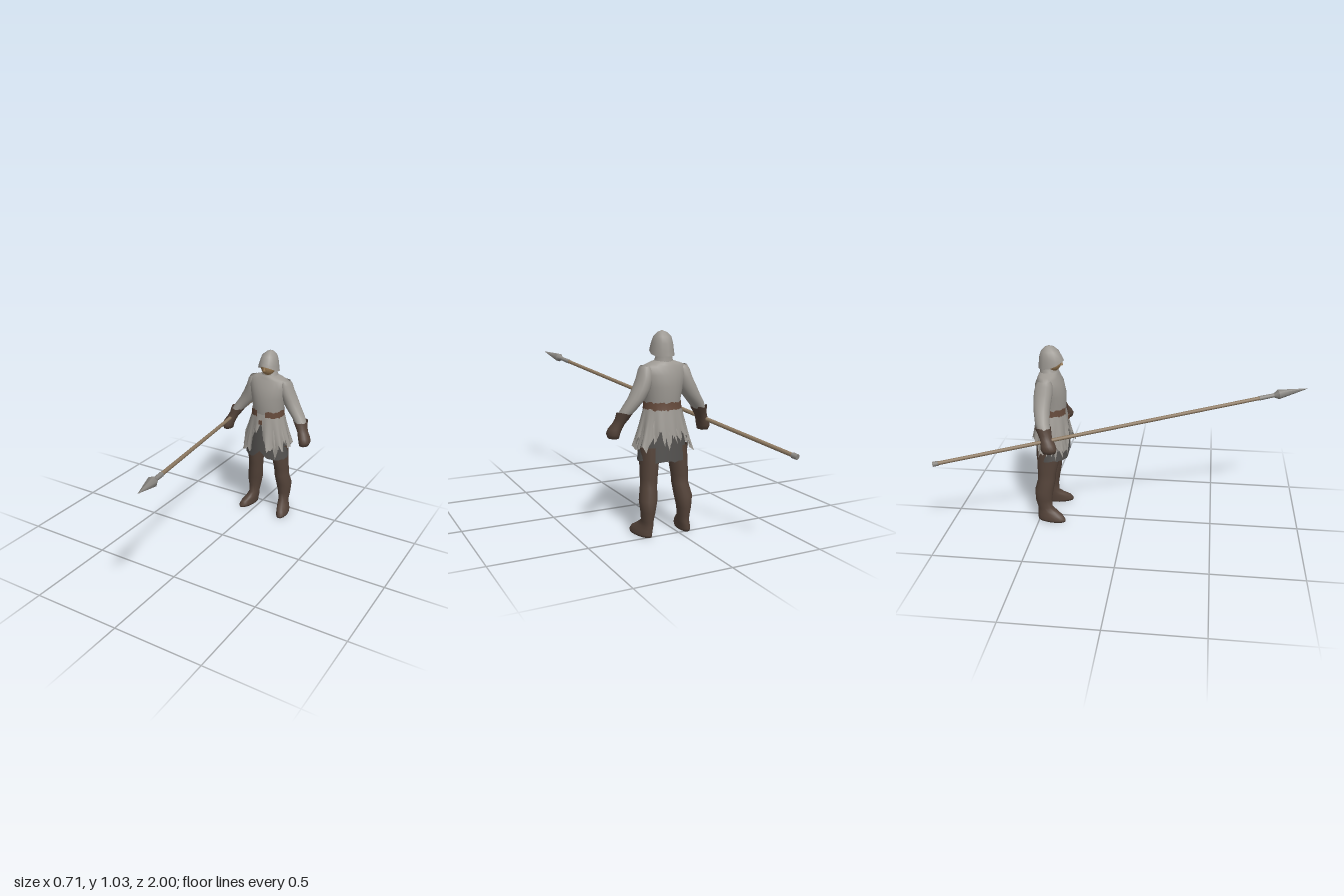
import * as THREE from 'three';

const CX = 0.06, CZ = -0.425, TAU = Math.PI * 2;
const mat = (name, color, double) => {
  const m = new THREE.MeshStandardMaterial({ color });
  m.name = name;
  if (double) m.side = THREE.DoubleSide;
  return m;
};

// Repeatable value from -1 to 1
const noise = (n) => {
  const v = Math.sin(n * 127.1 + 3.7) * 43758.5453;
  return (v - Math.floor(v)) * 2 - 1;
};

// Skin over elliptical rings listed from top to bottom: [x, y, z, rx, rz, shear]
function loft(rings, segs = 16, shape = null, a0 = 0, a1 = TAU) {
  const closed = a1 - a0 > TAU - 0.001, cols = closed ? segs : segs + 1;
  const pos = [], idx = [], p = new THREE.Vector3();
  rings.forEach(([x, y, z, rx, rz, shear = 0], i) => {
    for (let j = 0; j < cols; j++) {
      const a = a0 + (a1 - a0) * j / segs;
      p.set(x + Math.sin(a) * rx + Math.cos(a) * rz * shear, y, z + Math.cos(a) * rz);
      if (shape) shape(p, a, i, j);
      pos.push(p.x, p.y, p.z);
    }
  });
  for (let i = 0; i < rings.length - 1; i++) {
    for (let j = 0; j < segs; j++) {
      const k = (j + 1) % cols, a = i * cols + j, b = a + cols;
      const c = (i + 1) * cols + k, d = i * cols + k;
      idx.push(a, b, c, a, c, d);
    }
  }
  const g = new THREE.BufferGeometry();
  g.setAttribute('position', new THREE.Float32BufferAttribute(pos, 3));
  g.setIndex(idx);
  g.computeVertexNormals();
  return g;
}

export function createModel() {
  const root = new THREE.Group();
  root.name = 'spearman';
  const cloth = mat('grey cloth', 0x9d9993, true);
  const dark = mat('dark cloth', 0x53514f, true);
  const leather = mat('brown leather', 0x55443a, true);
  const belt = mat('belt leather', 0x654a3b, true);
  const skin = mat('skin', 0x9c7d56);
  const wood = mat('shaft wood', 0x8f7b63);
  const metal = mat('metal', 0x8b8883);
  const add = (name, geometry, material, parent = root) => {
    const m = new THREE.Mesh(geometry, material);
    m.name = name;
    parent.add(m);
    return m;
  };

  // Tunic body with square shoulders
  add('torso', loft([
    [CX, 0.892, -0.432, 0.03, 0.035], [CX, 0.885, -0.432, 0.05, 0.046],
    [CX, 0.872, -0.433, 0.09, 0.054], [CX, 0.86, -0.433, 0.122, 0.058],
    [CX, 0.82, -0.43, 0.123, 0.078], [CX, 0.76, -0.425, 0.108, 0.086],
    [CX, 0.7, -0.423, 0.096, 0.084], [CX, 0.655, -0.422, 0.092, 0.08],
  ], 24), cloth);
  add('collar', loft([
    [CX, 0.945, -0.442, 0.036, 0.038], [CX, 0.91, -0.438, 0.038, 0.04],
    [CX, 0.88, -0.433, 0.05, 0.048],
  ]), cloth);

  // Head and helmet
  const face = add('face', new THREE.SphereGeometry(1, 16, 12), skin);
  face.position.set(CX, 0.94, -0.409);
  face.scale.set(0.042, 0.053, 0.05);
  const nose = add('nose', new THREE.ConeGeometry(0.009, 0.03, 5), skin);
  nose.position.set(CX, 0.938, -0.358);
  add('helmet', loft([
    [0.064, 1.033, -0.424, 0.001, 0.001], [0.063, 1.024, -0.423, 0.022, 0.026],
    [CX, 1.003, -0.42, 0.043, 0.05], [CX, 0.97, -0.417, 0.052, 0.064],
    [CX, 0.945, -0.416, 0.056, 0.07], [CX, 0.93, -0.416, 0.06, 0.073],
  ], 12, (p, a, i) => {
    if (i === 4) p.y += 0.014 * Math.cos(a);
    if (i === 5) p.y += 0.022 * Math.cos(a) - 0.014 * Math.sin(a) ** 2;
  }), cloth);

  // Arms, gloves and legs on both sides
  for (const s of [-1, 1]) {
    const side = s > 0 ? 'left' : 'right';
    const limb = (rings) => rings.map(([o, y, z, rx, rz, sh = 0]) => [CX + s * o, y, z, rx, rz, s * sh]);
    add(side + 'Sleeve', loft(limb([
      [0.1, 0.862, -0.435, 0.026, 0.035], [0.104, 0.84, -0.438, 0.034, 0.047],
      [0.111, 0.8, -0.442, 0.04, 0.052], [0.128, 0.755, -0.446, 0.046, 0.05],
      [0.15, 0.71, -0.446, 0.047, 0.045], [0.188, 0.66, -0.438, 0.041, 0.04],
      [0.212, 0.625, -0.427, 0.034, 0.036],
    ])), cloth);
    add(side + 'Glove', loft(limb([
      [0.209, 0.638, -0.43, 0.043, 0.043], [0.222, 0.605, -0.42, 0.034, 0.037],
      [0.236, 0.58, -0.41, 0.031, 0.034], [0.25, 0.555, -0.4, 0.034, 0.04],
      [0.258, 0.53, -0.394, 0.033, 0.044], [0.256, 0.508, -0.393, 0.027, 0.036],
      [0.254, 0.5, -0.393, 0.001, 0.001],
    ]), 20, (p, a, i, j) => { if (!i) p.y += 0.006 * noise(j + 5); }), leather);
    add(side + 'LegAndBoot', loft(limb([
      [0.08, 0.46, -0.435, 0.046, 0.066], [0.082, 0.38, -0.44, 0.046, 0.065],
      [0.088, 0.3, -0.45, 0.043, 0.054], [0.09, 0.255, -0.452, 0.042, 0.052],
      [0.1, 0.19, -0.468, 0.046, 0.054], [0.103, 0.13, -0.472, 0.036, 0.048],
      [0.104, 0.08, -0.466, 0.029, 0.043], [0.108, 0.055, -0.45, 0.031, 0.06, 0.1],
      [0.116, 0.035, -0.434, 0.034, 0.076, 0.15], [0.121, 0.012, -0.426, 0.036, 0.084, 0.15],
      [0.121, 0, -0.426, 0.034, 0.082, 0.15], [0.121, 0, -0.426, 0.001, 0.001],
    ])), leather);
  }

  // Underskirt with a split at the front
  add('underskirt', loft([
    [CX, 0.64, CZ, 0.09, 0.079], [CX, 0.56, CZ, 0.106, 0.09],
    [CX, 0.47, CZ, 0.122, 0.095], [CX, 0.385, CZ, 0.134, 0.098],
  ], 40, (p, a, i, j) => {
    if (i === 3) p.y += 0.05 * Math.max(0, 1 - Math.abs(p.x - CX) / 0.045) * (Math.cos(a) > 0 ? 1 : 0) + 0.005 * noise(j);
  }), dark);

  // Torn overskirt: each column falls from the waist to its own hem height
  const torn = (name, seed, out, lift) => {
    const top = 0.668, rows = 7;
    const rings = Array.from({ length: rows }, () => [CX, 0, CZ, 1, 1]);
    add(name, loft(rings, 72, (p, a, i, j) => {
      const t = i / (rows - 1), front = Math.min(a, TAU - a);
      const back = Math.max(0, -Math.cos(a)) * 0.04;
      const slit = Math.max(0, 1 - front / 0.5) * 0.15;
      const hem = 0.46 + lift + back + slit + 0.045 * noise(Math.floor(j / 2) + seed) + 0.025 * noise(j * 3 + seed);
      const y = THREE.MathUtils.lerp(top, hem, t), drop = (top - y) / 0.23;
      const pleat = drop * (0.007 * Math.sin(a * 11 + seed) + 0.012 * t * t * noise(j + seed * 2)) + out;
      const rx = 0.092 + 0.058 * drop + pleat, rz = 0.08 + 0.034 * drop + pleat;
      p.set(CX + Math.sin(a) * rx, y, CZ + Math.cos(a) * rz);
    }), cloth);
  };
  torn('overskirtOuterLayer', 4, 0.002, 0);
  torn('overskirtInnerLayer', 19, -0.004, 0.015);

  // Worn belt, open at the front, with a hanging tab
  add('belt', loft([
    [CX, 0.682, -0.422, 0.097, 0.086], [CX, 0.664, -0.422, 0.098, 0.087],
    [CX, 0.645, -0.423, 0.1, 0.089],
  ], 60, (p, a, i, j) => { if (i !== 1) p.y += 0.005 * noise(j + i * 31); }, 0.25, TAU - 0.32), belt);
  const tab = add('beltTab', new THREE.BoxGeometry(0.02, 0.025, 0.006), belt);
  tab.position.set(CX, 0.616, -0.327);

  // Long spear through the right hand
  const tail = new THREE.Vector3(-0.342, 0.476, -0.998), tip = new THREE.Vector3(0.19, 0.795, 1);
  const axis = tip.clone().sub(tail), length = axis.length();
  const spear = new THREE.Group();
  spear.name = 'spear';
  spear.position.copy(tail);
  spear.quaternion.setFromUnitVectors(new THREE.Vector3(0, 1, 0), axis.normalize());
  root.add(spear);
  const rod = (name, from, to, rFrom, rTo, material, sides = 10) => {
    const m = add(name, new THREE.CylinderGeometry(rTo, rFrom, to - from, sides), material, spear);
    m.position.y = (from + to) / 2;
    return m;
  };
  rod('shaft', 0.02, length - 0.24, 0.0105, 0.0105, wood);
  rod('buttCap', 0, 0.03, 0.014, 0.014, metal);
  rod('socket', length - 0.28, length - 0.17, 0.013, 0.011, metal);
  rod('bladeBase', length - 0.2, length - 0.17, 0.01, 0.027, metal, 6);
  rod('blade', length - 0.17, length, 0.027, 0.0005, metal, 6);
  return root;
}
